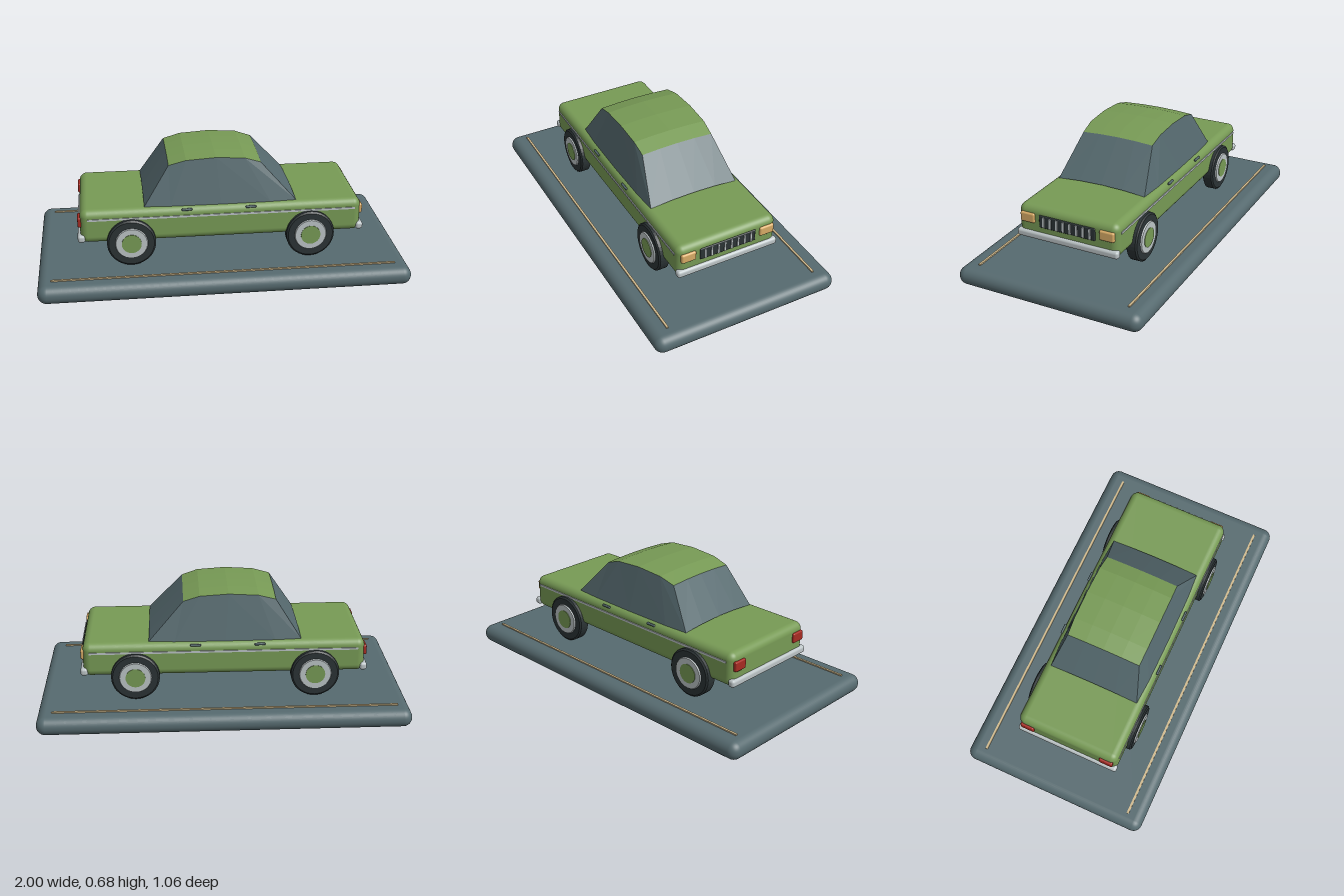
import * as THREE from 'three';
import { RoundedBoxGeometry } from 'three/addons/geometries/RoundedBoxGeometry.js';

const mat = (name, color, extra = {}) => {
  const m = new THREE.MeshStandardMaterial({ color, ...extra });
  m.name = name;
  return m;
};

export function createModel() {
  const green = mat('green paint', 0x779a55);
  const roofGreen = green.clone();
  roofGreen.name = 'green roof paint';
  roofGreen.side = THREE.DoubleSide;
  roofGreen.flatShading = true;
  const slate = mat('slate', 0x566a6f);
  const glass = mat('slate glass', 0x566a6f, { side: THREE.DoubleSide, flatShading: true });
  const dark = mat('dark rubber', 0x2b3335);
  const chrome = mat('chrome', 0xbcc4c6);
  const amber = mat('amber lamp', 0xd8ab66);
  const red = mat('red lamp', 0xa62a22);
  const sand = mat('sand line', 0xd0b98c);

  const model = new THREE.Group();
  const add = (name, geometry, material, x = 0, y = 0, z = 0, parent = model) => {
    const mesh = new THREE.Mesh(geometry, material);
    mesh.name = name;
    mesh.position.set(x, y, z);
    parent.add(mesh);
    return mesh;
  };
  const rounded = (w, h, d, r) => new RoundedBoxGeometry(w, h, d, 5, r);

  // Stand with its two painted lines
  add('stand', rounded(2, 0.1, 1.06, 0.049), slate, 0, 0.05, 0);
  for (const s of [1, -1])
    add('standLine', new THREE.BoxGeometry(1.85, 0.009, 0.012), sand, -0.005, 0.1025, s * 0.436);

  // Lower body
  add('body', rounded(1.52, 0.188, 0.582, 0.04), green, -0.005, 0.328, 0);

  // Cabin sections along x: [x top, y top, z top, x sill, z sill]
  const sections = [
    [-0.284, 0.633, 0.208, -0.42, 0.257],
    [-0.19, 0.659, 0.212, -0.28, 0.266],
    [-0.03, 0.669, 0.213, -0.01, 0.269],
    [0.125, 0.659, 0.212, 0.26, 0.266],
    [0.212, 0.63, 0.208, 0.4, 0.257],
  ];
  // Crowned row of points across the car
  const across = (x, y, z, crown) =>
    [-1, -0.5, 0, 0.5, 1].map((t) => [x, y + crown * (1 - t * t), z * t]);
  // Surface between successive rows of points
  const loft = (rows) => {
    const p = [];
    for (let i = 0; i + 1 < rows.length; i++)
      for (let j = 0; j + 1 < rows[i].length; j++) {
        const [a, b, c, d] = [rows[i][j], rows[i][j + 1], rows[i + 1][j + 1], rows[i + 1][j]];
        p.push(...a, ...b, ...c, ...a, ...c, ...d);
      }
    const g = new THREE.BufferGeometry();
    g.setAttribute('position', new THREE.Float32BufferAttribute(p, 3));
    g.computeVertexNormals();
    return g;
  };
  const sill = 0.422;
  add('roof', loft(sections.map(([x, y, z]) => across(x, y, z, 0.008))), roofGreen);
  for (const [name, k] of [['rearWindow', 0], ['windshield', 4]]) {
    const [x, y, z, sx, sz] = sections[k];
    const upper = across(x, y, z, 0.008);
    const lower = across(sx, sill, sz, 0.014);
    add(name, loft(k ? [upper, lower] : [lower, upper]), glass);
  }
  for (const s of [1, -1]) {
    const upper = sections.map(([x, y, z]) => [x, y, s * z]);
    const lower = sections.map(([, , , x, z]) => [x, sill, s * z]);
    add('sideWindows', loft(s > 0 ? [upper, lower] : [lower, upper]), glass);
  }

  // Side trim and door handles
  for (const s of [1, -1]) {
    add('sideTrim', new THREE.BoxGeometry(1.445, 0.011, 0.008), chrome, -0.003, 0.372, s * 0.291);
    for (const x of [-0.195, 0.15])
      add('doorHandle', rounded(0.058, 0.013, 0.012, 0.005), slate, x, 0.409, s * 0.289);
  }

  // Wheels: tyre turned around its axle, chrome rim, painted cap
  const tyreProfile = [[0, -0.031], [0.122, -0.031], [0.131, -0.024], [0.131, 0.024], [0.122, 0.031], [0, 0.031]]
    .map(([r, h]) => new THREE.Vector2(r, h));
  const tyre = new THREE.LatheGeometry(tyreProfile, 40).toNonIndexed();
  tyre.computeVertexNormals();
  const rim = new THREE.CylinderGeometry(0.084, 0.088, 0.008, 32);
  const cap = new THREE.CylinderGeometry(0.053, 0.053, 0.004, 32);
  for (const x of [-0.495, 0.475])
    for (const s of [1, -1]) {
      const wheel = new THREE.Group();
      wheel.name = 'wheel';
      wheel.position.set(x, 0.238, s * 0.284);
      wheel.rotation.x = (s * Math.PI) / 2;
      add('tyre', tyre, dark, 0, 0, 0, wheel);
      add('rim', rim, chrome, 0, 0.034, 0, wheel);
      add('hubCap', cap, green, 0, 0.039, 0, wheel);
      model.add(wheel);
    }

  // Bumpers and lamps
  add('frontBumper', rounded(0.04, 0.042, 0.59, 0.015), chrome, 0.75, 0.263, 0);
  add('rearBumper', rounded(0.04, 0.042, 0.59, 0.015), chrome, -0.76, 0.263, 0);
  for (const s of [1, -1]) {
    add('headlight', rounded(0.035, 0.055, 0.084, 0.01), amber, 0.749, 0.357, s * 0.23);
    add('tailLight', rounded(0.035, 0.055, 0.078, 0.008), red, -0.76, 0.352, s * 0.233);
  }

  // Grille with upright bars
  add('grille', rounded(0.022, 0.07, 0.326, 0.006), dark, 0.75, 0.348, 0);
  for (let i = 0; i < 8; i++)
    add('grilleBar', new THREE.BoxGeometry(0.008, 0.058, 0.011), chrome, 0.762, 0.348, (i - 3.5) * 0.0385);

  return model;
}
